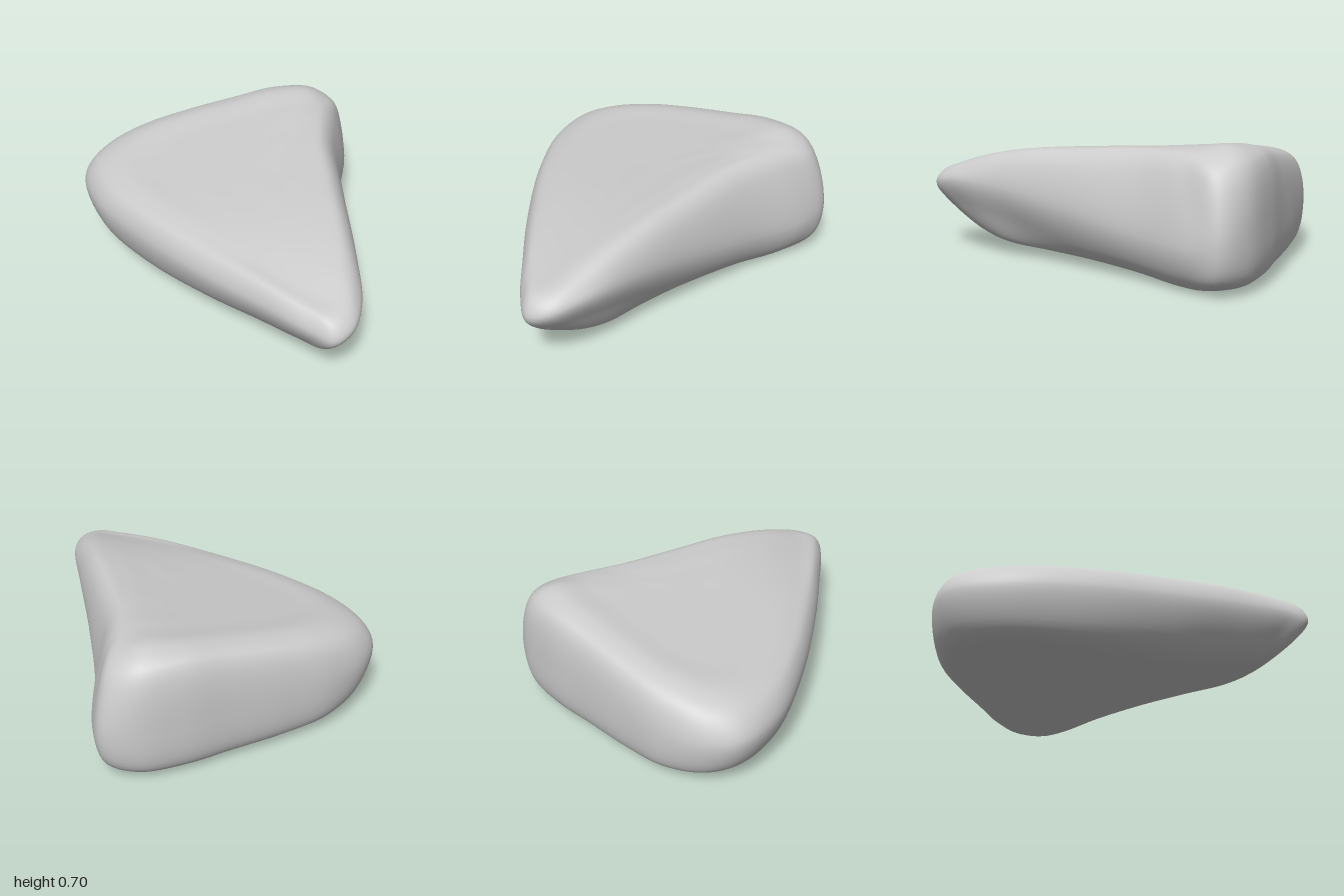
import * as THREE from 'three';

// Stations clockwise around the plan outline, seen from above:
// [x, z, low edge y, widest y, high edge y, low inset, high inset]
const stations = [
  [-0.81, -0.30, 0.11, 0.32, 0.44, 0.09, 0.06],
  [-0.74, -0.48, 0.09, 0.31, 0.46, 0.07, 0.06],
  [-0.55, -0.64, 0.07, 0.30, 0.50, 0.05, 0.06],
  [-0.30, -0.752, 0.055, 0.31, 0.55, 0.05, 0.06],
  [0.00, -0.862, 0.05, 0.32, 0.60, 0.05, 0.06],
  [0.25, -0.953, 0.05, 0.33, 0.63, 0.045, 0.055],
  [0.50, -1.00, 0.06, 0.32, 0.61, 0.04, 0.06],
  [0.66, -0.95, 0.08, 0.28, 0.58, 0.045, 0.10],
  [0.70, -0.80, 0.10, 0.24, 0.57, 0.06, 0.15],
  [0.685, -0.45, 0.10, 0.25, 0.57, 0.10, 0.14],
  [0.72, 0.00, 0.13, 0.32, 0.55, 0.14, 0.09],
  [0.77, 0.40, 0.19, 0.38, 0.51, 0.14, 0.05],
  [0.805, 0.75, 0.25, 0.40, 0.47, 0.10, 0.05],
  [0.77, 0.93, 0.25, 0.37, 0.44, 0.08, 0.04],
  [0.68, 1.00, 0.24, 0.34, 0.43, 0.06, 0.04],
  [0.55, 0.95, 0.20, 0.35, 0.44, 0.11, 0.05],
  [0.30, 0.79, 0.16, 0.35, 0.46, 0.14, 0.05],
  [0.00, 0.59, 0.13, 0.34, 0.46, 0.14, 0.06],
  [-0.40, 0.28, 0.11, 0.33, 0.455, 0.12, 0.06],
  [-0.70, -0.03, 0.11, 0.32, 0.44, 0.10, 0.06],
];
const centre = { x: 0.2, z: -0.1 };

// Sloping upper surface, rolling off towards the tip and the long right-hand ridge
const topY = (x, z) =>
  0.56 + 0.13 * x - 0.11 * z -
  0.2 * Math.max(0, z - 0.2) ** 2 -
  1.3 * Math.max(0, x - 0.49 - 0.2 * z) ** 2;

// Nearly flat underside, rising towards the tip
const bottomY = (x, z) =>
  0.005 + 0.05 * (z + 0.6) + 0.05 * (0.2 - x) ** 2 + 0.3 * Math.max(0, z - 0.4) ** 2;

// Ring of points at a given inset from the outline
function ring(inset, height) {
  const points = stations.map((s) => {
    const k = 1 - inset(s);
    const x = centre.x + (s[0] - centre.x) * k;
    const z = centre.z + (s[1] - centre.z) * k;
    return new THREE.Vector3(x, height(s, x, z), z);
  });
  return new THREE.CatmullRomCurve3(points, true, 'centripetal');
}

function stoneGeometry(around = 140, across = 80) {
  const onBottom = (s, x, z) => bottomY(x, z);
  const onTop = (s, x, z) => topY(x, z);
  const rings = [
    ring(() => 0.7, onBottom),
    ring(() => 0.45, onBottom),
    ring((s) => s[5] + 0.17, onBottom),
    ring((s) => s[5], (s) => s[2]),
    ring(() => 0, (s) => s[3]),
    ring((s) => s[6], (s) => s[4]),
    ring((s) => s[6] + 0.13, onTop),
    ring(() => 0.42, onTop),
    ring(() => 0.7, onTop),
  ];
  const low = new THREE.Vector3(centre.x, bottomY(centre.x, centre.z), centre.z);
  const high = new THREE.Vector3(centre.x, topY(centre.x, centre.z), centre.z);

  // Loft a smooth profile from the bottom centre over the rim to the top centre
  const positions = [];
  const index = [];
  const row = across + 1;
  for (let i = 0; i < around; i++) {
    const section = rings.map((r) => r.getPoint(i / around));
    const profile = new THREE.CatmullRomCurve3([low, ...section, high], false, 'centripetal');
    for (let j = 0; j <= across; j++) positions.push(...profile.getPoint(j / across).toArray());
    const a = i * row;
    const b = ((i + 1) % around) * row;
    for (let j = 0; j < across; j++) {
      if (j < across - 1) index.push(a + j, a + j + 1, b + j + 1);
      if (j > 0) index.push(a + j, b + j + 1, b + j);
    }
  }
  const geometry = new THREE.BufferGeometry();
  geometry.setAttribute('position', new THREE.Float32BufferAttribute(positions, 3));
  geometry.setIndex(index);

  // Rest on the ground, centred
  geometry.computeBoundingBox();
  const { min, max } = geometry.boundingBox;
  geometry.translate(-(min.x + max.x) / 2, -min.y, -(min.z + max.z) / 2);
  geometry.computeVertexNormals();
  return geometry;
}

export function createModel() {
  const group = new THREE.Group();
  group.name = 'smoothStone';
  const stone = new THREE.Mesh(
    stoneGeometry(),
    new THREE.MeshStandardMaterial({ color: 0xcccccc })
  );
  stone.name = 'stone';
  group.add(stone);
  return group;
}
